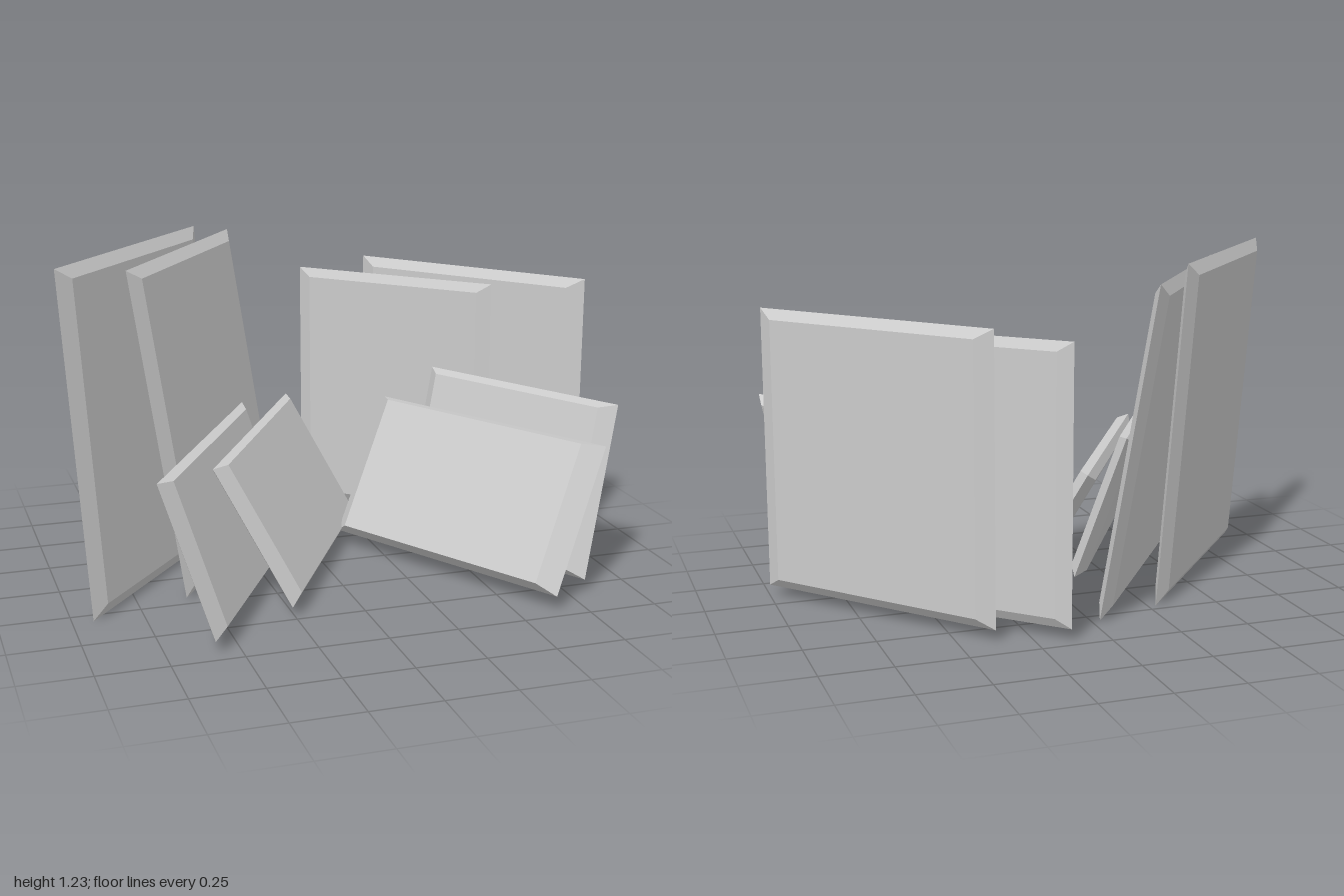
import * as THREE from 'three';

const material = new THREE.MeshStandardMaterial({ color: 0xcccccc, flatShading: true });

// Panel whose widest outline is a ridge at mid-thickness, with bevels running to both faces
function makeSlab({ name, at, width, height, half, yaw, lean }) {
  const geometry = new THREE.BoxGeometry(width, height, half * 2, 1, 1, 2);
  const p = geometry.attributes.position;
  for (let i = 0; i < p.count; i++) {
    if (Math.abs(p.getZ(i)) > half * 0.5) {
      p.setX(i, p.getX(i) * 0.87);
      p.setY(i, p.getY(i) * 0.93);
    }
  }
  geometry.computeVertexNormals();
  const mesh = new THREE.Mesh(geometry, material);
  mesh.name = name;
  mesh.position.set(...at);
  // Turn to its facing direction, then lean the top edge backwards
  mesh.rotation.set(-THREE.MathUtils.degToRad(lean), THREE.MathUtils.degToRad(yaw), 0, 'YXZ');
  return mesh;
}

const slabs = [
  // Right-hand stack, outermost first
  { name: 'rightOuterTallSlab', at: [-0.64, 0.617, -0.11], width: 1.008, height: 1.23, half: 0.025, yaw: 50, lean: 4.5 },
  { name: 'rightInnerTallSlab', at: [-0.379, 0.6, -0.237], width: 0.973, height: 1.188, half: 0.025, yaw: 55, lean: 9.5 },
  { name: 'rightOuterShortSlab', at: [-0.412, 0.315, 0.21], width: 1.04, height: 0.563, half: 0.03, yaw: 60, lean: 19.5 },
  { name: 'rightInnerShortSlab', at: [-0.122, 0.286, -0.032], width: 1.048, height: 0.558, half: 0.03, yaw: 60, lean: 30 },
  // Left-hand stack, outermost first
  { name: 'leftOuterTallSlab', at: [0.687, 0.552, -0.265], width: 0.97, height: 1.015, half: 0.028, yaw: -50, lean: 0 },
  { name: 'leftInnerTallSlab', at: [0.425, 0.53, -0.414], width: 0.835, height: 0.97, half: 0.02, yaw: -45, lean: -0.6 },
  { name: 'leftOuterShortSlab', at: [0.667, 0.366, 0.174], width: 0.85, height: 0.642, half: 0.042, yaw: -60, lean: 15 },
  { name: 'leftInnerShortSlab', at: [0.5, 0.302, 0.19], width: 1.03, height: 0.56, half: 0.055, yaw: -60, lean: 29 },
];

export function createModel() {
  const group = new THREE.Group();
  group.name = 'leaningSlabs';
  for (const slab of slabs) group.add(makeSlab(slab));
  return group;
}
